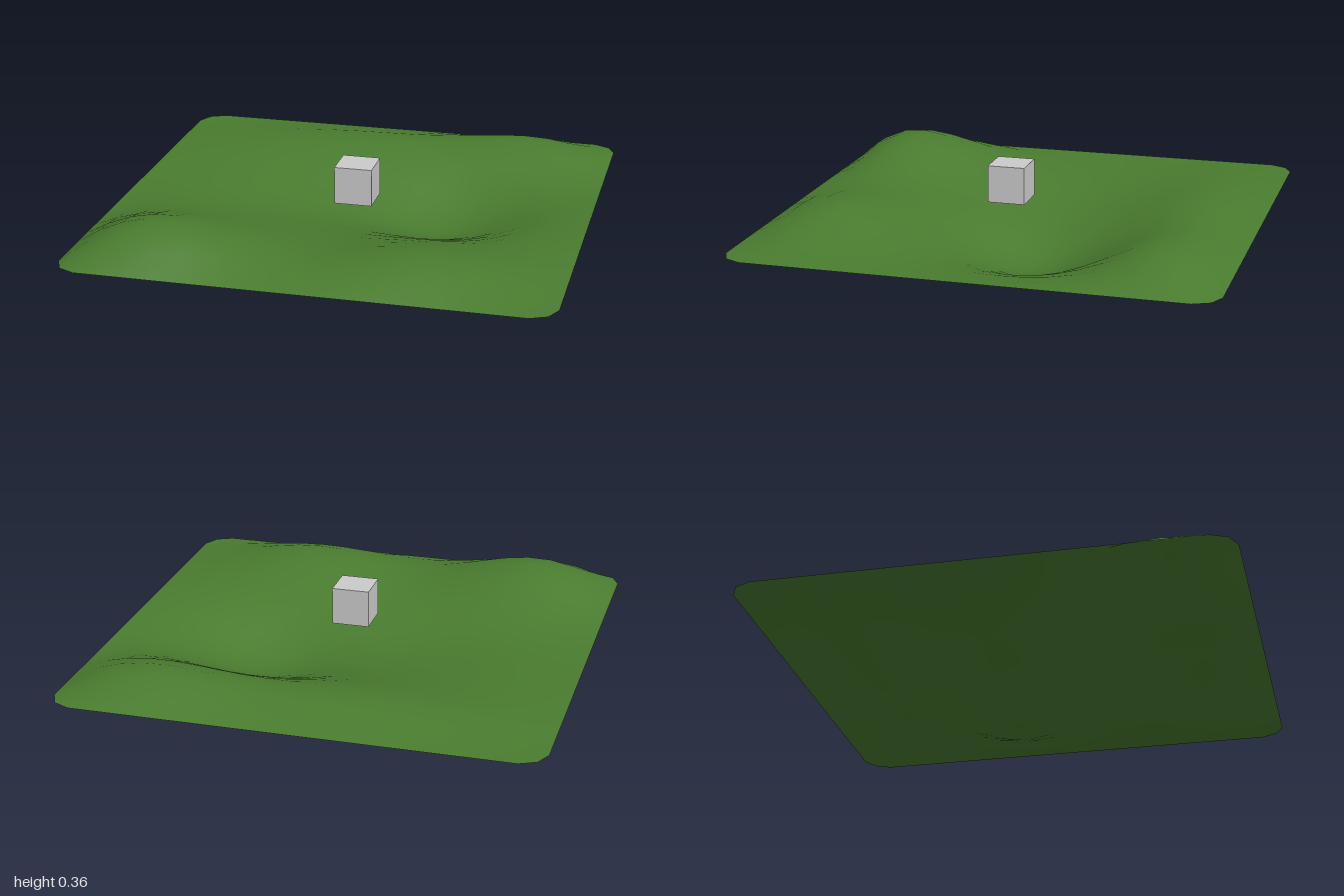
import * as THREE from 'three';

const BASE = 0.15; // height of the flat rim

// Smooth hills and hollows: [x, z, height, spread in x, spread in z]
const bumps = [
  [-0.65, 0.77, 0.145, 0.3, 0.27],   // front right hill
  [0.4, 0.77, 0.093, 0.28, 0.25],    // front left hill
  [0.65, -0.74, 0.095, 0.3, 0.19],   // back left hill
  [-0.15, -0.72, 0.055, 0.4, 0.18],  // back ridge
  [0.36, -0.12, -0.146, 0.25, 0.235], // deep hollow
  [-0.2, -0.06, -0.05, 0.25, 0.25],  // shallow end of the hollow
];

function heightAt(x, z) {
  // Fades to the rim at the four edges
  const fade = (1 - Math.abs(x) ** 10) * (1 - Math.abs(z) ** 10);
  let h = 0;
  for (const [bx, bz, amp, sx, sz] of bumps) {
    h += amp * Math.exp(-((x - bx) ** 2) / (2 * sx * sx) - ((z - bz) ** 2) / (2 * sz * sz));
  }
  return Math.max(0, BASE + h * fade);
}

export function createModel() {
  const model = new THREE.Group();
  model.name = 'terrainPatch';

  // Rolling ground sheet with clipped corners
  const groundGeometry = new THREE.PlaneGeometry(2, 2, 20, 20).rotateX(-Math.PI / 2);
  const pos = groundGeometry.attributes.position;
  for (let i = 0; i < pos.count; i++) {
    const x = pos.getX(i), z = pos.getZ(i);
    const pull = Math.abs(x) > 0.99 && Math.abs(z) > 0.99 ? 0.968 : 1;
    pos.setXYZ(i, x * pull, heightAt(x, z), z * pull);
  }
  groundGeometry.computeVertexNormals();
  const ground = new THREE.Mesh(
    groundGeometry,
    new THREE.MeshStandardMaterial({ color: 0x4a7c2f, side: THREE.DoubleSide })
  );
  ground.name = 'ground';

  // Cube hovering over the middle
  const cube = new THREE.Mesh(
    new THREE.BoxGeometry(0.16, 0.16, 0.16),
    new THREE.MeshStandardMaterial({ color: 0xcccccc })
  );
  cube.name = 'cube';
  cube.position.set(0.02, 0.28, 0.07);

  model.add(ground, cube);
  return model;
}
